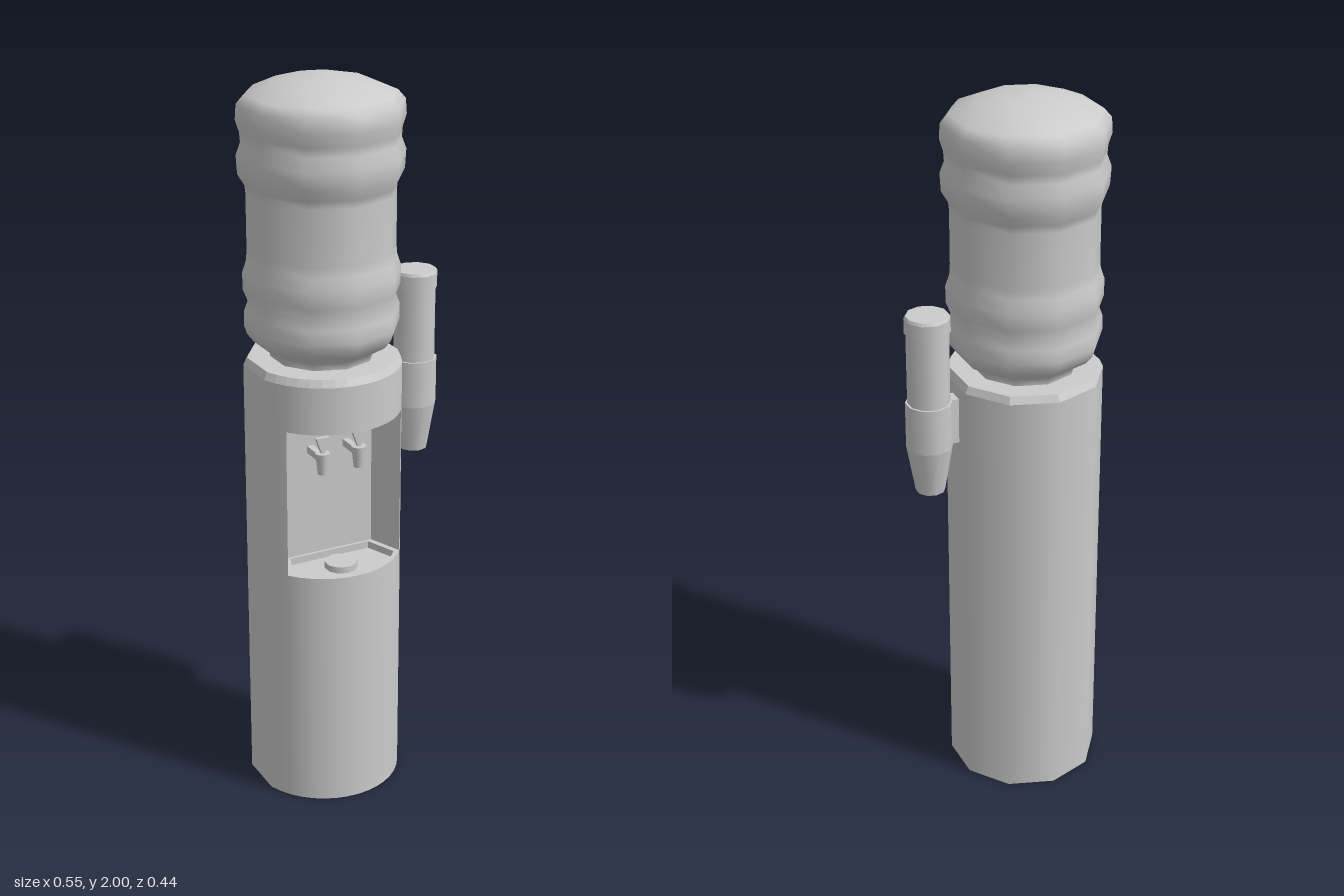
import * as THREE from 'three';

const R = 0.212, NICHE_LOW = 0.69, NICHE_HIGH = 1.105, SHOULDER = 1.235, TOP = 1.255;
const material = new THREE.MeshStandardMaterial({ color: 0xcccccc });

function add(parent, name, geometry, x = 0, y = 0, z = 0) {
  const mesh = new THREE.Mesh(geometry, material);
  mesh.name = name;
  mesh.position.set(x, y, z);
  parent.add(mesh);
  return mesh;
}

// Point [x, z] on the cabinet outline; angle in degrees from the front
const onRim = (deg) => {
  const t = THREE.MathUtils.degToRad(deg);
  return [R * Math.sin(t), R * Math.cos(t)];
};
const scaled = (pts, s, cz = 0) => pts.map(([x, z]) => [x * s, cz + (z - cz) * s]);

// Strip of quads between two matching outlines; radial gives smooth round shading
function strip(low, y0, high, y1, radial = false) {
  const pos = [];
  for (let i = 0; i < low.length - 1; i++) {
    const a = [low[i][0], y0, low[i][1]], b = [low[i + 1][0], y0, low[i + 1][1]];
    const c = [high[i + 1][0], y1, high[i + 1][1]], d = [high[i][0], y1, high[i][1]];
    pos.push(...a, ...b, ...c, ...a, ...c, ...d);
  }
  const g = new THREE.BufferGeometry();
  g.setAttribute('position', new THREE.Float32BufferAttribute(pos, 3));
  g.computeVertexNormals();
  if (radial) {
    const p = g.attributes.position, n = g.attributes.normal;
    for (let i = 0; i < p.count; i++) {
      const l = Math.hypot(p.getX(i), p.getZ(i));
      n.setXYZ(i, p.getX(i) / l, 0, p.getZ(i) / l);
    }
  }
  return g;
}

// Flat horizontal face, facing up or down, with an optional hole
function flat(pts, up, hole) {
  const s = up ? -1 : 1;
  const to2 = (list) => list.map(([x, z]) => new THREE.Vector2(x, s * z));
  const shape = new THREE.Shape(to2(pts));
  if (hole) shape.holes.push(new THREE.Path(to2(hole)));
  return new THREE.ShapeGeometry(shape).rotateX(s * Math.PI / 2);
}

function buildCabinet() {
  const g = new THREE.Group();
  g.name = 'cabinet';
  // Rounded front, ten-sided back
  const open = 53.2;
  const front = Array.from({ length: 13 }, (_, i) => onRim(-open + (i * open) / 6));
  const back = [open, 62, 72, 108, 144, 180, 216, 252, 288, 298, 360 - open].map(onRim);
  const outline = [...front, ...back.slice(1, -1)];
  const loop = [...outline, outline[0]];

  add(g, 'cabinetBack', strip(back, 0, back, SHOULDER, true));
  add(g, 'cabinetFrontLower', strip(front, 0, front, NICHE_LOW, true));
  add(g, 'cabinetFrontUpper', strip(front, NICHE_HIGH, front, SHOULDER, true));
  add(g, 'cabinetBottom', flat(outline, false));
  add(g, 'topBevel', strip(loop, SHOULDER, scaled(loop, 0.955), TOP));
  add(g, 'cabinetTop', flat(scaled(outline, 0.955), true), 0, TOP);

  // Niche with flared side walls
  const corners = [[-0.133, 0.03], [0.133, 0.03]];
  const nicheWall = [front[0], ...corners, front[12]];
  add(g, 'nicheWalls', strip(nicheWall, NICHE_LOW, nicheWall, NICHE_HIGH));
  const floor = [...front, corners[1], corners[0]];
  add(g, 'nicheCeiling', flat(floor, false), 0, NICHE_HIGH);

  // Sunken drip tray with a round drain
  const tray = scaled(floor, 0.9, 0.11);
  const trayLoop = [...tray, tray[0]].reverse();
  const trayY = NICHE_LOW - 0.02;
  add(g, 'trayRim', flat(floor, true, tray), 0, NICHE_LOW);
  add(g, 'trayWall', strip(trayLoop, trayY, trayLoop, NICHE_LOW));
  add(g, 'trayFloor', flat(tray, true), 0, trayY);
  add(g, 'drain', new THREE.CylinderGeometry(0.045, 0.045, 0.018, 10), 0, trayY + 0.009, 0.107);
  return g;
}

function buildTap(x) {
  const g = new THREE.Group();
  g.name = 'tap';
  g.position.set(x, 0, 0.105);
  add(g, 'tapSpout', new THREE.CylinderGeometry(0.021, 0.014, 0.06, 8), 0, 0.987, 0);
  add(g, 'tapStem', new THREE.BoxGeometry(0.018, 0.02, 0.08), 0, 1.0, -0.038);
  // Wedge lever, wide at the top
  const wedge = new THREE.Shape([[-0.004, 0], [0.004, 0], [0.02, 0.045], [-0.02, 0.045]]
    .map(([a, b]) => new THREE.Vector2(a, b)));
  const lever = new THREE.ExtrudeGeometry(wedge, { depth: 0.012, bevelEnabled: false });
  add(g, 'tapLever', lever, 0, 1.016, -0.006);
  return g;
}

function buildBottle() {
  // [radius, height] up the ribbed side and over the domed top
  const profile = [
    [0.14, 1.25], [0.14, 1.272], [0.183, 1.298], [0.2, 1.32], [0.208, 1.345], [0.207, 1.385],
    [0.197, 1.412], [0.209, 1.442], [0.21, 1.49], [0.199, 1.522], [0.197, 1.55], [0.197, 1.7],
    [0.199, 1.72], [0.217, 1.75], [0.22, 1.8], [0.208, 1.832], [0.21, 1.858], [0.22, 1.89],
    [0.217, 1.93], [0.197, 1.953], [0.13, 1.982], [0.065, 1.996], [0, 2],
  ].map(([r, y]) => new THREE.Vector2(r, y));
  return new THREE.LatheGeometry(profile, 10);
}

function buildCupHolder() {
  const g = new THREE.Group();
  g.name = 'cupHolder';
  g.position.x = 0.213;
  // [name, top radius, bottom radius, bottom height, top height]
  const sections = [
    ['holderCapTop', 0.057, 0.061, 1.442, 1.45],
    ['holderCap', 0.061, 0.061, 1.4, 1.442],
    ['cupTube', 0.057, 0.057, 1.2, 1.4],
    ['holderCollar', 0.063, 0.063, 1.07, 1.2],
    ['holderCone', 0.063, 0.04, 0.935, 1.07],
  ];
  for (const [name, rt, rb, y0, y1] of sections) {
    add(g, name, new THREE.CylinderGeometry(rt, rb, y1 - y0, 10), 0, (y0 + y1) / 2, 0);
  }
  add(g, 'holderBracket', new THREE.BoxGeometry(0.04, 0.13, 0.04), -0.068, 1.135, 0);
  return g;
}

export function createModel() {
  const model = new THREE.Group();
  model.name = 'waterDispenser';
  const main = new THREE.Group();
  main.name = 'dispenser';
  main.position.x = -0.066;
  main.add(buildCabinet());
  for (const side of [-1, 1]) main.add(buildTap(side * 0.054));
  add(main, 'waterBottle', buildBottle());
  model.add(main, buildCupHolder());
  return model;
}
